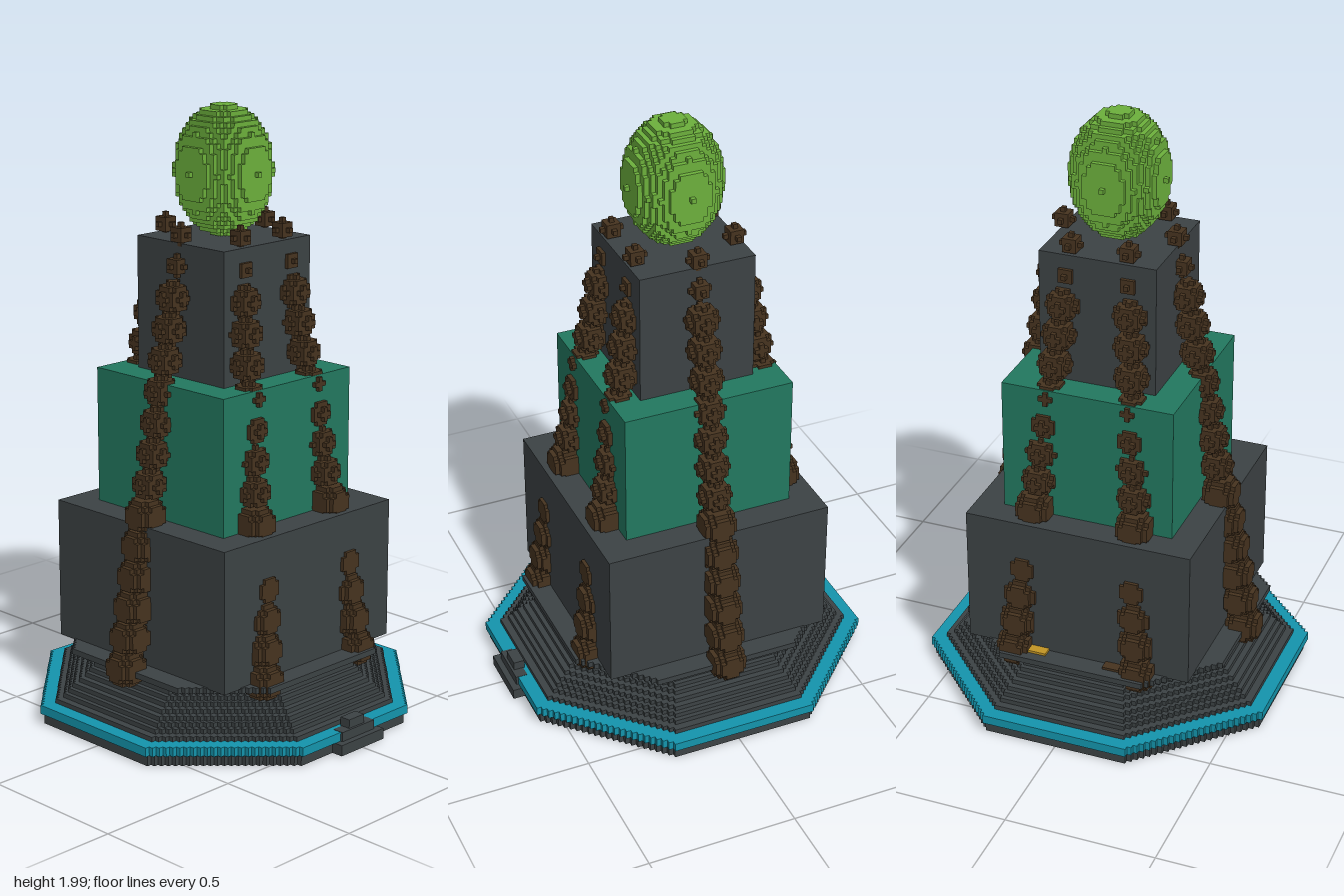
import * as THREE from 'three';
import { mergeGeometries } from 'three/addons/utils/BufferGeometryUtils.js';

const U = 0.0154;   // block size
const CZ = -0.015;  // tower axis in z

const mat = (name, color) => {
  const m = new THREE.MeshStandardMaterial({ color });
  m.name = name;
  return m;
};

// Ellipsoid made of little cubes, keeping only the exposed faces
function blockBall(rx, ry) {
  const a = rx / U, b = ry / U;
  const inside = (p) => (p[0] ** 2 + p[2] ** 2) / (a * a) + p[1] ** 2 / (b * b) <= 1.0001;
  const pos = [], nor = [], idx = [];
  const A = Math.ceil(a), B = Math.ceil(b);
  for (let i = -A; i <= A; i++) for (let j = -B; j <= B; j++) for (let k = -A; k <= A; k++) {
    const c = [i, j, k];
    if (!inside(c)) continue;
    for (let ax = 0; ax < 3; ax++) for (const s of [-1, 1]) {
      const n = [0, 0, 0];
      n[ax] = s;
      if (inside(c.map((v, q) => v + n[q]))) continue;
      const first = pos.length / 3;
      for (const [e, f] of [[-1, -1], [1, -1], [1, 1], [-1, 1]]) {
        const d = [0, 0, 0];
        d[ax] = s; d[(ax + 1) % 3] = e * s; d[(ax + 2) % 3] = f;
        pos.push(...c.map((v, q) => (v + d[q] / 2) * U));
        nor.push(...n);
      }
      idx.push(first, first + 1, first + 2, first, first + 2, first + 3);
    }
  }
  const g = new THREE.BufferGeometry();
  g.setAttribute('position', new THREE.Float32BufferAttribute(pos, 3));
  g.setAttribute('normal', new THREE.Float32BufferAttribute(nor, 3));
  g.setIndex(idx);
  return g;
}

// Octagonal slab with staircase diagonals; r is the half width, c the half length of a straight side
function octSlab(r, c, y0, y1) {
  const n = Math.max(2, Math.round((r - c) / U)), t = (r - c) / n;
  const quarter = [];
  for (let i = 0; i < n; i++) {
    quarter.push([r - i * t, c + i * t], [r - (i + 1) * t, c + i * t]);
  }
  quarter.push([c, r]);
  const pts = [];
  for (let q = 0; q < 4; q++) {
    for (const [x, y] of quarter) {
      pts.push(new THREE.Vector2(...[[x, y], [-y, x], [-x, -y], [y, -x]][q]));
    }
  }
  const g = new THREE.ExtrudeGeometry(new THREE.Shape(pts), { depth: y1 - y0, bevelEnabled: false });
  return g.rotateX(-Math.PI / 2).translate(0, y0, CZ);
}

const block = (x0, x1, y0, y1, z0, z1) =>
  new THREE.BoxGeometry(x1 - x0, y1 - y0, z1 - z0)
    .translate((x0 + x1) / 2, (y0 + y1) / 2, (z0 + z1) / 2);

export function createModel() {
  const model = new THREE.Group();
  model.name = 'steppedTower';
  const slate = mat('slate', 0x3c4244);
  const green = mat('deepGreen', 0x22785f);
  const teal = mat('tealBand', 0x1494ac);
  const lime = mat('limeGreen', 0x6cb03c);
  const brown = mat('darkBrown', 0x46331f);
  const gold = mat('gold', 0xc29524);
  const add = (name, geo, material) => {
    const m = new THREE.Mesh(geo, material);
    m.name = name;
    model.add(m);
    return m;
  };

  // Octagonal foot with a coloured rim
  add('footPlate', octSlab(0.585, 0.245, 0, 0.036), slate);
  add('footRim', octSlab(0.597, 0.25, 0.036, 0.066), teal);

  // Stepped plinth rising to the tower
  const steps = [];
  const widths = [0.55, 0.525, 0.51, 0.495, 0.475, 0.455, 0.44, 0.425, 0.415];
  widths.forEach((r, i) => {
    steps.push(octSlab(r, r * 0.415, 0.066 + i * U, 0.066 + (i + 1) * U));
  });
  steps.push(octSlab(0.455, 0.25, 0.2046, 0.224));
  add('plinth', mergeGeometries(steps), slate);

  // Doorstep at the front and its small post
  add('doorstep', block(-0.1, 0.1, 0, 0.036, 0.55, 0.61), slate);
  add('doorstepRiser', block(-0.075, 0.075, 0.036, 0.067, 0.55, 0.59), slate);
  add('doorstepPost', block(-0.035, 0.035, 0.06, 0.096, 0.545, 0.582), slate);

  // Three square tiers
  add('lowerTier', block(-0.385, 0.385, 0.22, 0.69, -0.4, 0.37), slate);
  add('middleTier', block(-0.29, 0.29, 0.69, 1.14, -0.305, 0.272), green);
  add('upperTier', block(-0.195, 0.195, 1.14, 1.575, -0.21, 0.18), slate);

  // Egg-shaped finial
  add('finial', blockBall(10 * U, 13.5 * U).translate(0, 1.787, CZ), lime);

  // Beaded vines: one up each side, two up the front and two up the back
  const beads = [0.058, 0.05, 0.034].map((r) => blockBall(r, r));
  const vine = (name, at) => {
    const parts = [];
    for (let i = 0; i < 15; i++) {
      const y = 0.225 + i * 0.0985;
      const geo = beads[y < 0.78 ? 0 : y < 1.45 ? 1 : 2].clone();
      const [x, z] = at(i / 14);
      parts.push(geo.translate(x, y, z + CZ));
    }
    add(name, mergeGeometries(parts), brown);
  };
  for (const s of [-1, 1]) {
    const side = s > 0 ? 'left' : 'right';
    vine(side + 'SideVine', (t) => [s * (0.445 - 0.255 * t), 0]);
    vine(side + 'FrontVine', (t) => [s * (0.215 - 0.12 * t), 0.39 - 0.222 * t]);
    vine(side + 'BackVine', (t) => [s * (0.215 - 0.12 * t), -0.39 + 0.222 * t]);
  }

  // Little slabs at the foot of the back wall
  add('backGoldSlab', block(0.1, 0.17, 0.215, 0.232, -0.435, -0.395), gold);
  add('backBrownSlab', block(-0.2, -0.1, 0.215, 0.232, -0.435, -0.395), brown);

  return model;
}
